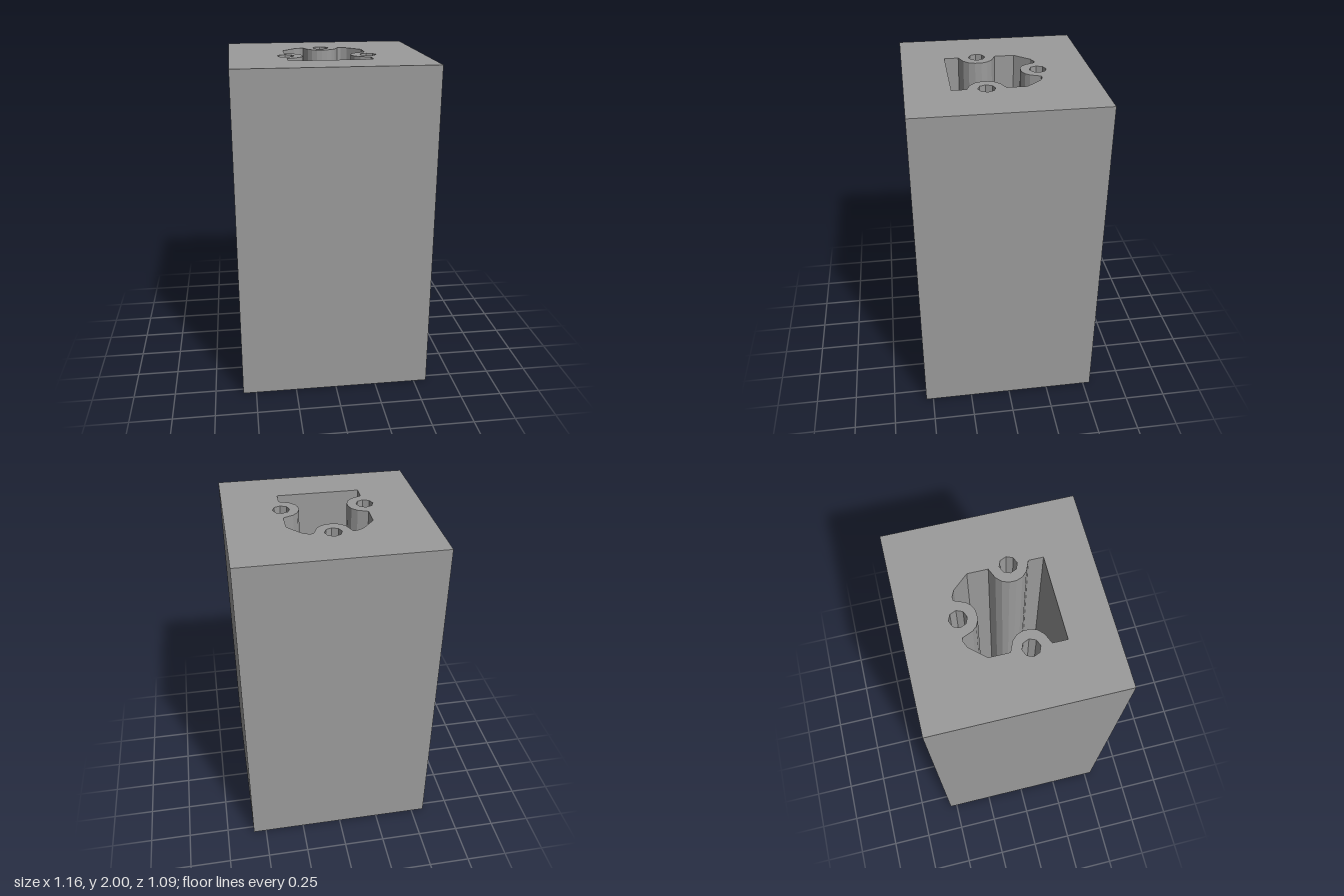
import * as THREE from 'three';

const W = 0.58, D = 0.545, H = 2, FLOOR = 0.2; // half width, half depth, height, pocket floor level

// Plan outlines are counter-clockwise [x, -z] pairs.
const outline = [[-W, -D], [W, -D], [W, D], [-W, D]];

// Right half of the pocket, front corner to the middle of the rear boss; mirrored for the left half.
const half = [
  [0.246, -0.285], [0.246, -0.201], [0.187, -0.176], [0.157, -0.146], [0.144, -0.11],
  [0.144, -0.071], [0.157, -0.035], [0.187, -0.005], [0.246, 0.02], [0.246, 0.137],
  [0.168, 0.225], [0.131, 0.242], [0.109, 0.24], [0.084, 0.18], [0.062, 0.156], [0.032, 0.141],
];
const pocket = [...half, [0, 0.138], ...half.map(([x, v]) => [-x, v]).reverse()];

// Octagonal through holes: one at the rear, one on each side.
const holes = [[0, 0.24], [-0.246, -0.09], [0.246, -0.09]].map(([cx, cv]) =>
  Array.from({ length: 8 }, (_, i) => {
    const a = (i * Math.PI) / 4;
    return [cx + 0.05 * Math.cos(a), cv + 0.05 * Math.sin(a)];
  }));

// Vertical walls around a loop, facing outward, or inward for a cavity.
function walls(loop, y0, y1, inward = false) {
  const pts = inward ? [...loop].reverse() : loop;
  const pos = [];
  pts.forEach(([ax, av], i) => {
    const [bx, bv] = pts[(i + 1) % pts.length];
    pos.push(ax, y0, -av, bx, y0, -bv, bx, y1, -bv, ax, y0, -av, bx, y1, -bv, ax, y1, -av);
  });
  const g = new THREE.BufferGeometry();
  g.setAttribute('position', new THREE.Float32BufferAttribute(pos, 3));
  g.computeVertexNormals();
  return g;
}

// Horizontal face with openings, facing up or down.
function face(loop, openings, y, up = true) {
  const toVec = (l) => l.map(([x, v]) => new THREE.Vector2(x, up ? v : -v));
  const shape = new THREE.Shape(toVec(loop));
  openings.forEach((o) => shape.holes.push(new THREE.Path(toVec(o))));
  return new THREE.ShapeGeometry(shape).rotateX(up ? -Math.PI / 2 : Math.PI / 2).translate(0, y, 0);
}

export function createModel() {
  const group = new THREE.Group();
  group.name = 'block';
  const material = new THREE.MeshStandardMaterial({ color: 0x9b9b9b, flatShading: true });
  const add = (name, geometry) => {
    const mesh = new THREE.Mesh(geometry, material);
    mesh.name = name;
    group.add(mesh);
  };

  // Outer block
  add('outerWalls', walls(outline, 0, H));
  add('topFace', face(outline, [pocket, ...holes], H));
  add('bottomFace', face(outline, holes, 0, false));

  // Blind pocket sunk from the top
  add('pocketWalls', walls(pocket, FLOOR, H, true));
  add('pocketFloor', face(pocket, [], FLOOR));

  // Through holes
  holes.forEach((h, i) => add(['rearHole', 'rightHole', 'leftHole'][i], walls(h, 0, H, true)));
  return group;
}
